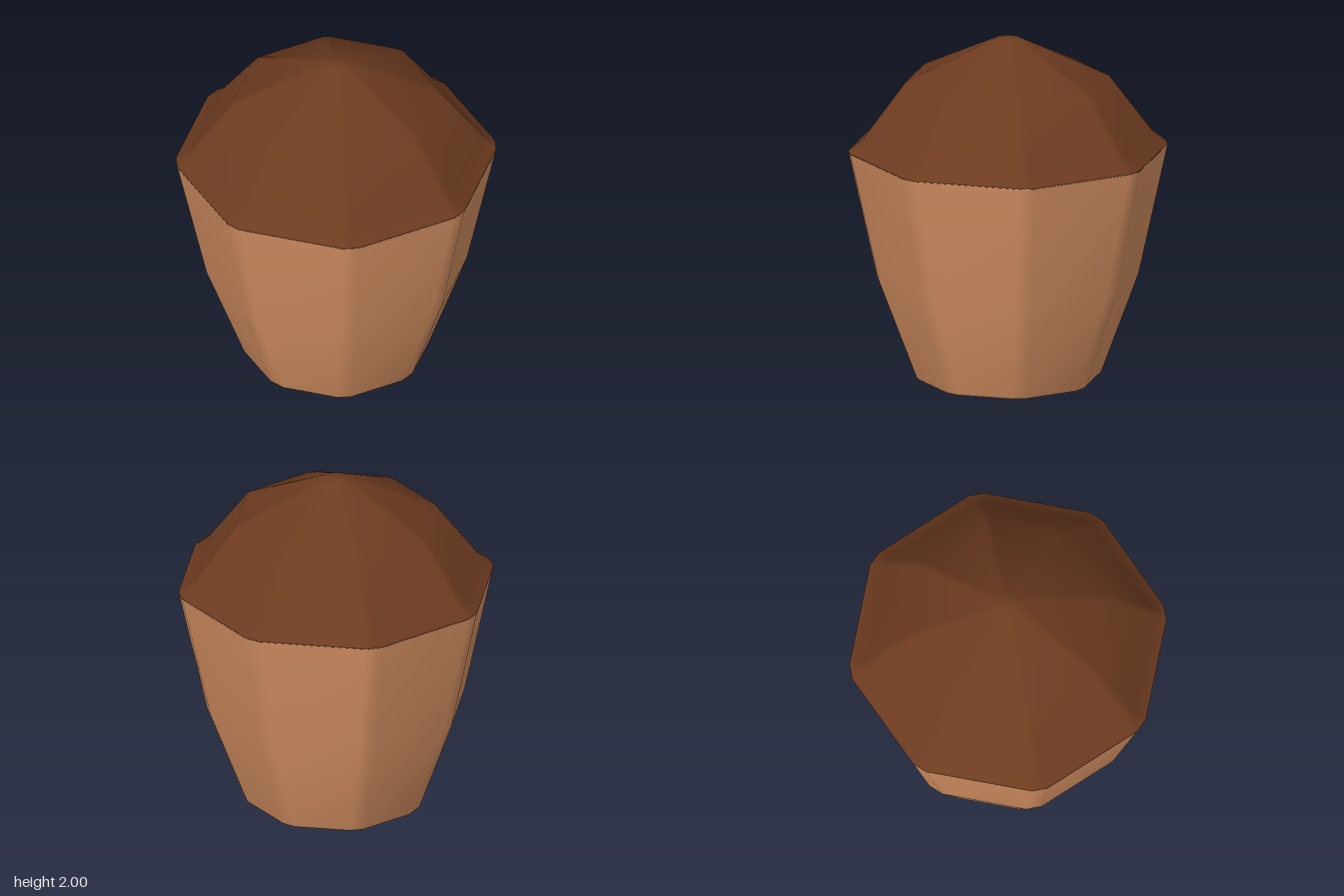
import * as THREE from 'three';

// Stacks octagonal rings with bevelled corners; each ring is [radius, height, half bevel width].
function octagonalShell(rings, capBottom, capTop) {
  const positions = [];
  const indices = [];
  const n = 16;
  for (const [r, y, w] of rings) {
    for (let k = 0; k < 8; k++) {
      const a = (k * Math.PI) / 4;
      for (const s of [-w, w]) {
        positions.push(
          r * Math.sin(a) + s * Math.cos(a), y,
          r * Math.cos(a) - s * Math.sin(a)
        );
      }
    }
  }
  for (let i = 0; i < rings.length - 1; i++) {
    for (let j = 0; j < n; j++) {
      const a = i * n + j, b = i * n + ((j + 1) % n);
      indices.push(a, b, b + n, a, b + n, a + n);
    }
  }
  // Fans that close the ends
  const cap = (start, y, up) => {
    const centre = positions.length / 3;
    positions.push(0, y, 0);
    for (let j = 0; j < n; j++) {
      const a = start + j, b = start + ((j + 1) % n);
      if (up) indices.push(centre, a, b);
      else indices.push(centre, b, a);
    }
  };
  if (capBottom) cap(0, rings[0][1], false);
  if (capTop) cap((rings.length - 1) * n, rings[rings.length - 1][1], true);

  const geometry = new THREE.BufferGeometry();
  geometry.setAttribute('position', new THREE.Float32BufferAttribute(positions, 3));
  geometry.setIndex(indices);
  geometry.computeVertexNormals();
  return geometry;
}

function part(name, geometry, color) {
  const mesh = new THREE.Mesh(geometry, new THREE.MeshStandardMaterial({ color }));
  mesh.name = name;
  return mesh;
}

export function createModel() {
  const group = new THREE.Group();
  group.name = 'muffin';

  // Tapered cup with a softened foot
  group.add(part('cup', octagonalShell([
    [0.48, 0, 0.03],
    [0.515, 0.008, 0.04],
    [0.53, 0.025, 0.045],
    [0.745, 0.6, 0.045],
    [0.913, 1.36, 0.045],
  ], true, false), 0xdb9465));

  // Domed top with a thin flared rim and a small flat tip
  group.add(part('domedTop', octagonalShell([
    [0.913, 1.355, 0.045],
    [0.83, 1.425, 0.03],
    [0.585, 1.755, 0.02],
    [0.07, 2, 0.01],
  ], false, true), 0x6d3b20));

  return group;
}
